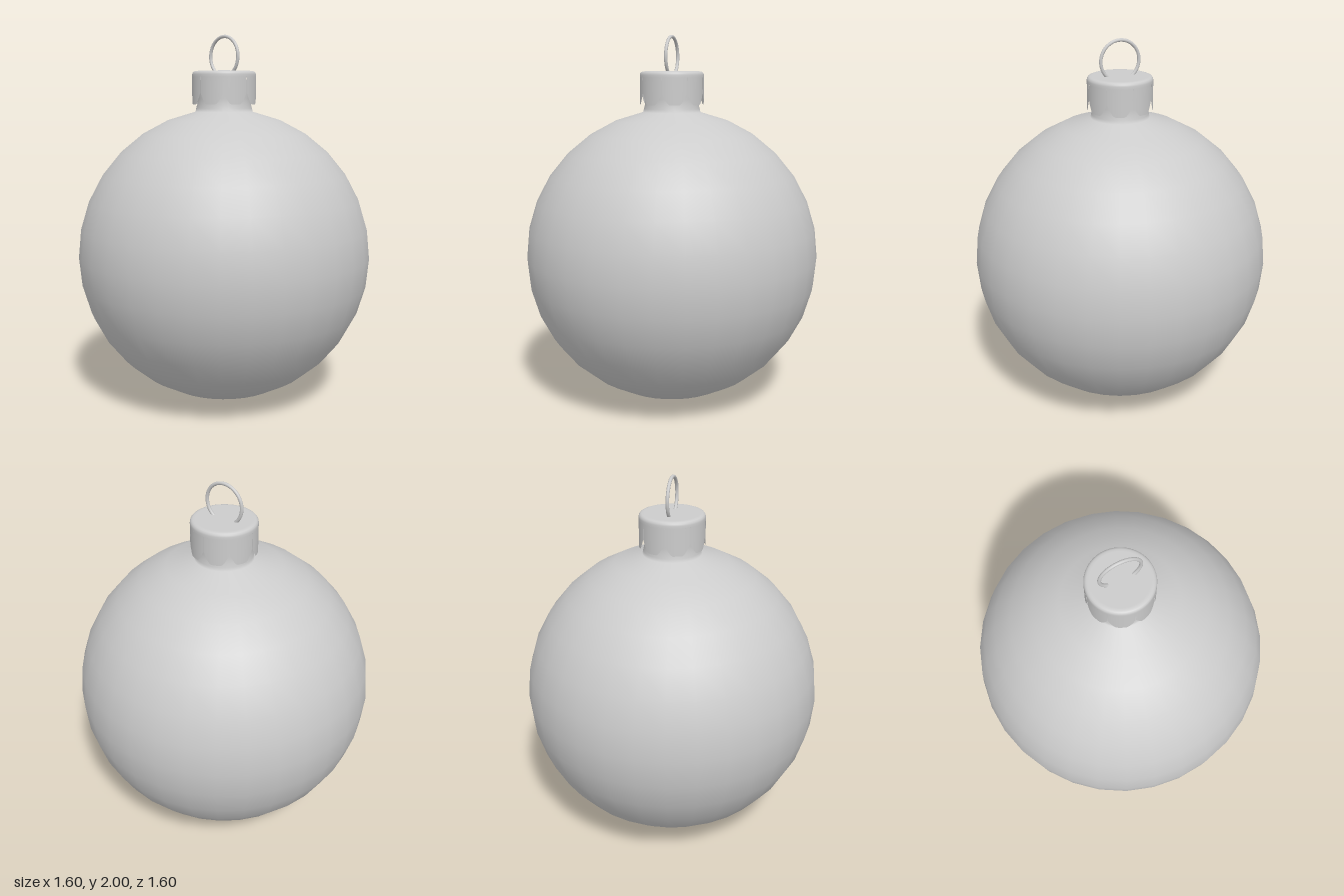
import * as THREE from 'three';

const material = new THREE.MeshStandardMaterial({ color: 0xcccccc, roughness: 0.6, side: THREE.DoubleSide });
const CAP_R = 0.173, PETALS = 8;

function addMesh(parent, name, geometry) {
  const mesh = new THREE.Mesh(geometry, material);
  mesh.name = name;
  parent.add(mesh);
  return mesh;
}

const lathe = (points, segments) =>
  new THREE.LatheGeometry(points.map(([r, y]) => new THREE.Vector2(r, y)), segments);

// One cap petal: a curved strip with a scalloped lower edge and a thin slit on each side
function petalGeometry(angle) {
  const geo = new THREE.PlaneGeometry(2, 1, 16, 5);
  const pos = geo.attributes.position;
  const top = 1.775, half = Math.PI / PETALS;
  for (let i = 0; i < pos.count; i++) {
    const u = pos.getX(i) * 0.975;
    const t = Math.max(0, (Math.abs(u) - 0.35) / 0.625);
    const bottom = 1.63 + 0.06 * Math.pow(t, 1.6);
    const y = THREE.MathUtils.lerp(bottom, top, pos.getY(i) + 0.5);
    const a = angle + u * half;
    pos.setXYZ(i, CAP_R * Math.sin(a), y, CAP_R * Math.cos(a));
  }
  geo.computeVertexNormals();
  return geo;
}

export function createModel() {
  const model = new THREE.Group();
  model.name = 'bauble';

  // Ball with a short flared neck, turned as one profile
  const profile = [[0, 0]];
  for (let i = 1; i <= 15; i++) {
    const a = (i * Math.PI) / 16;
    profile.push([0.8 * Math.sin(a), 0.805 - 0.8 * Math.cos(a)]);
  }
  profile.push([0.152, 1.608], [0.146, 1.63], [0.144, 1.66], [0.144, 1.76]);
  addMesh(model, 'ball', lathe(profile, 32));

  // Metal cap: rounded lid with a skirt of petals
  const cap = new THREE.Group();
  cap.name = 'cap';
  model.add(cap);
  addMesh(cap, 'capLid', lathe([
    [CAP_R, 1.775], [CAP_R, 1.788], [0.171, 1.797], [0.165, 1.804], [0.157, 1.807], [0.145, 1.808], [0, 1.808],
  ], 64));
  for (let i = 0; i < PETALS; i++) {
    addMesh(cap, 'capPetal', petalGeometry(((i + 0.5) * 2 * Math.PI) / PETALS));
  }

  // Hanging loop with both ends sunk into the lid
  const start = -Math.PI * 0.29;
  const loop = addMesh(model, 'hangingLoop', new THREE.TorusGeometry(0.106, 0.009, 10, 48, Math.PI - 2 * start));
  loop.geometry.rotateZ(start);
  loop.position.y = 1.885;
  loop.rotation.y = -Math.PI / 4;

  model.rotation.y = 0.05;
  const root = new THREE.Group();
  root.name = 'ornament';
  root.add(model);
  return root;
}
